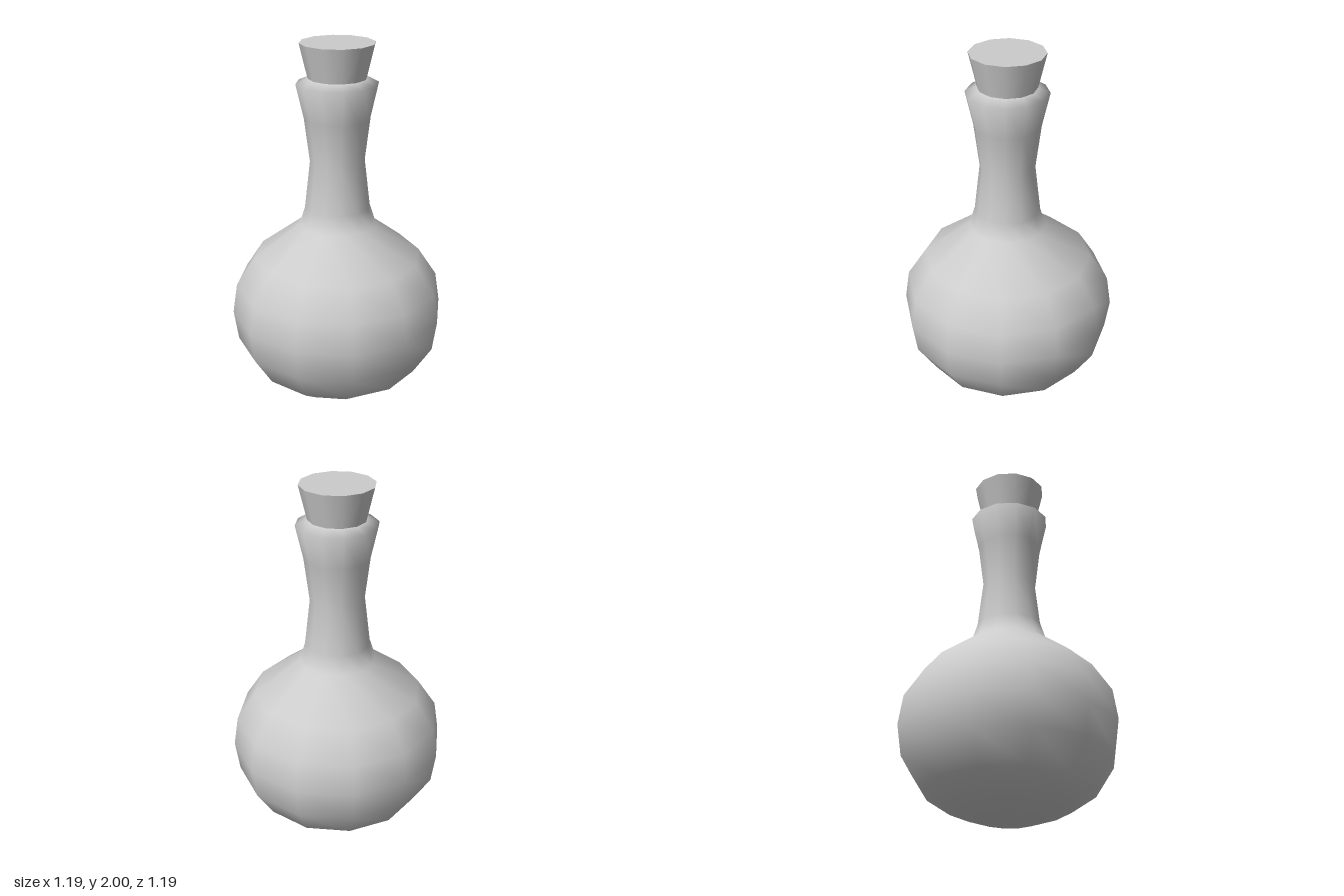
import * as THREE from 'three';

const SIDES = 12;

export function createModel() {
  const model = new THREE.Group();
  model.name = 'corkedFlask';
  const material = new THREE.MeshStandardMaterial({ color: 0xcccccc });

  // Flask: flat base, round belly, waisted neck and flared lip (radius, height)
  const profile = [
    [0, 0], [0.155, 0], [0.33, 0.06], [0.465, 0.15], [0.57, 0.315],
    [0.595, 0.485], [0.57, 0.65], [0.465, 0.81], [0.212, 1.0], [0.18, 1.1],
    [0.15, 1.36], [0.18, 1.6], [0.222, 1.785], [0.155, 1.815],
  ].map(([r, y]) => new THREE.Vector2(r, y));
  const flask = new THREE.Mesh(new THREE.LatheGeometry(profile, SIDES), material);
  flask.name = 'flask';
  model.add(flask);

  // Stopper: tapered cork, its lower end seated inside the lip
  const top = 2, bottom = 1.79;
  const stopper = new THREE.Mesh(
    new THREE.CylinderGeometry(0.202, 0.152, top - bottom, SIDES), material);
  stopper.position.y = (top + bottom) / 2;
  stopper.name = 'stopper';
  model.add(stopper);

  return model;
}
